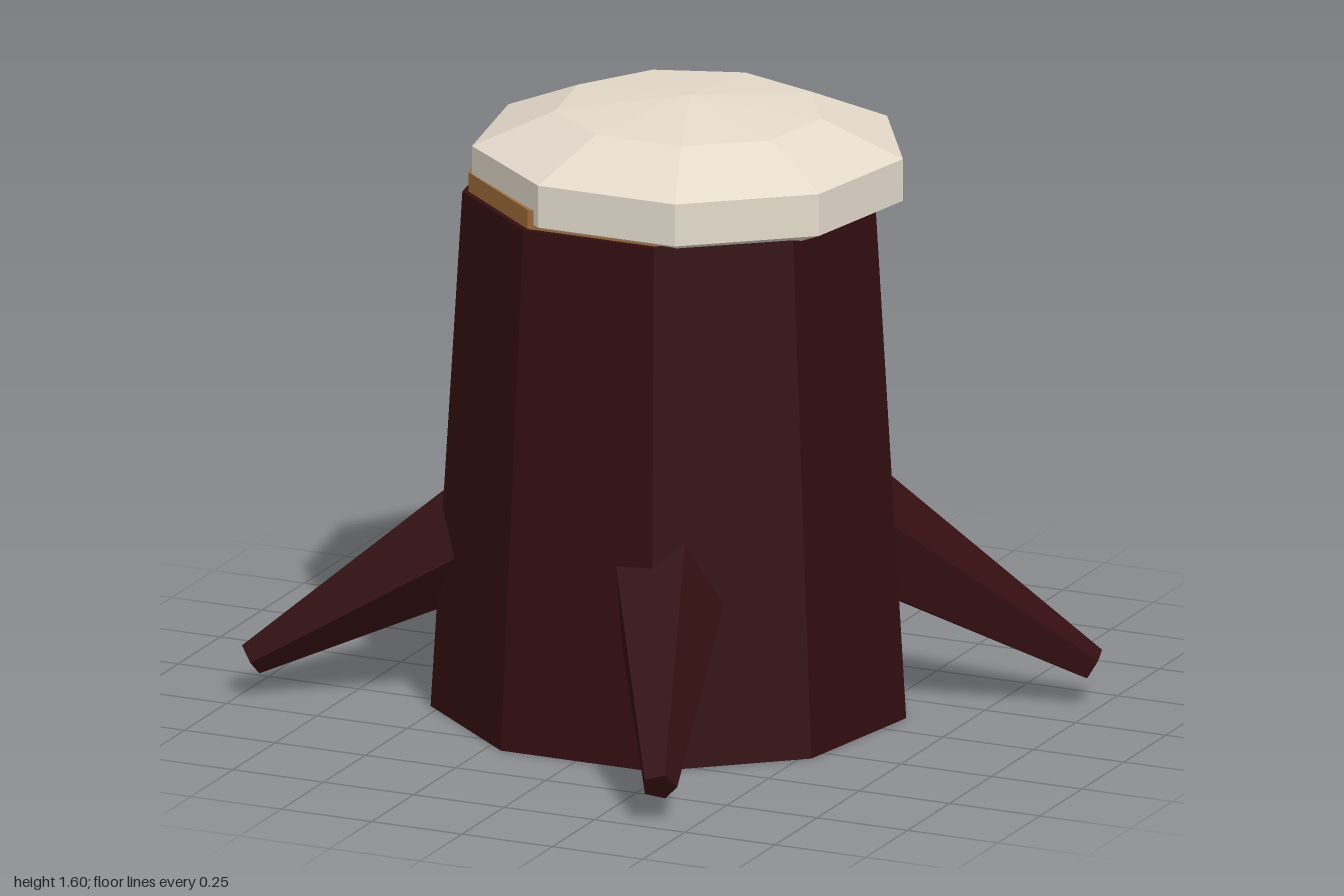
import * as THREE from 'three';

const material = (name, color) => {
  const m = new THREE.MeshStandardMaterial({ color, flatShading: true });
  m.name = name;
  return m;
};

export function createModel() {
  const bark = material('dark bark', 0x330e10);
  const wood = material('cut wood', 0xa06d3c);
  const snow = material('snow', 0xe4dacb);

  const model = new THREE.Group();
  model.name = 'snowyStump';
  const add = (name, geometry, mat) => {
    const mesh = new THREE.Mesh(geometry, mat);
    mesh.name = name;
    model.add(mesh);
    return mesh;
  };

  const SIDES = 9;

  // Tapered trunk with one corner pointing to the back
  add('trunk', new THREE.CylinderGeometry(0.528, 0.608, 1.35, SIDES, 1, false, Math.PI), bark)
    .position.y = 0.675;

  // Thin disc of cut wood on the trunk
  add('cutTop', new THREE.CylinderGeometry(0.513, 0.513, 0.05, SIDES, 1, false, Math.PI), wood)
    .position.y = 1.375;

  // Squashed, slightly off-centre snow cap
  const cap = new THREE.SphereGeometry(1, SIDES, 5)
    .rotateY(-Math.PI / 2)
    .scale(0.583, 0.178, 0.557)
    .translate(0.05, 1.418, 0);
  add('snowCap', cap, snow);

  // Four five-sided roots sloping down and outward
  const LENGTH = 0.85;
  const SLOPE = 0.54;
  for (let i = 0; i < 4; i++) {
    const root = new THREE.CylinderGeometry(0.045, 0.185, LENGTH, 5, 1, false, Math.PI / 2)
      .translate(0, -LENGTH / 2, 0) // tip at the origin
      .rotateX(Math.PI / 2 + SLOPE)
      .translate(0, 0.1, 1.057)
      .rotateY(0.405 + (i * Math.PI) / 2);
    add(`root${i + 1}`, root, bark);
  }

  return model;
}
